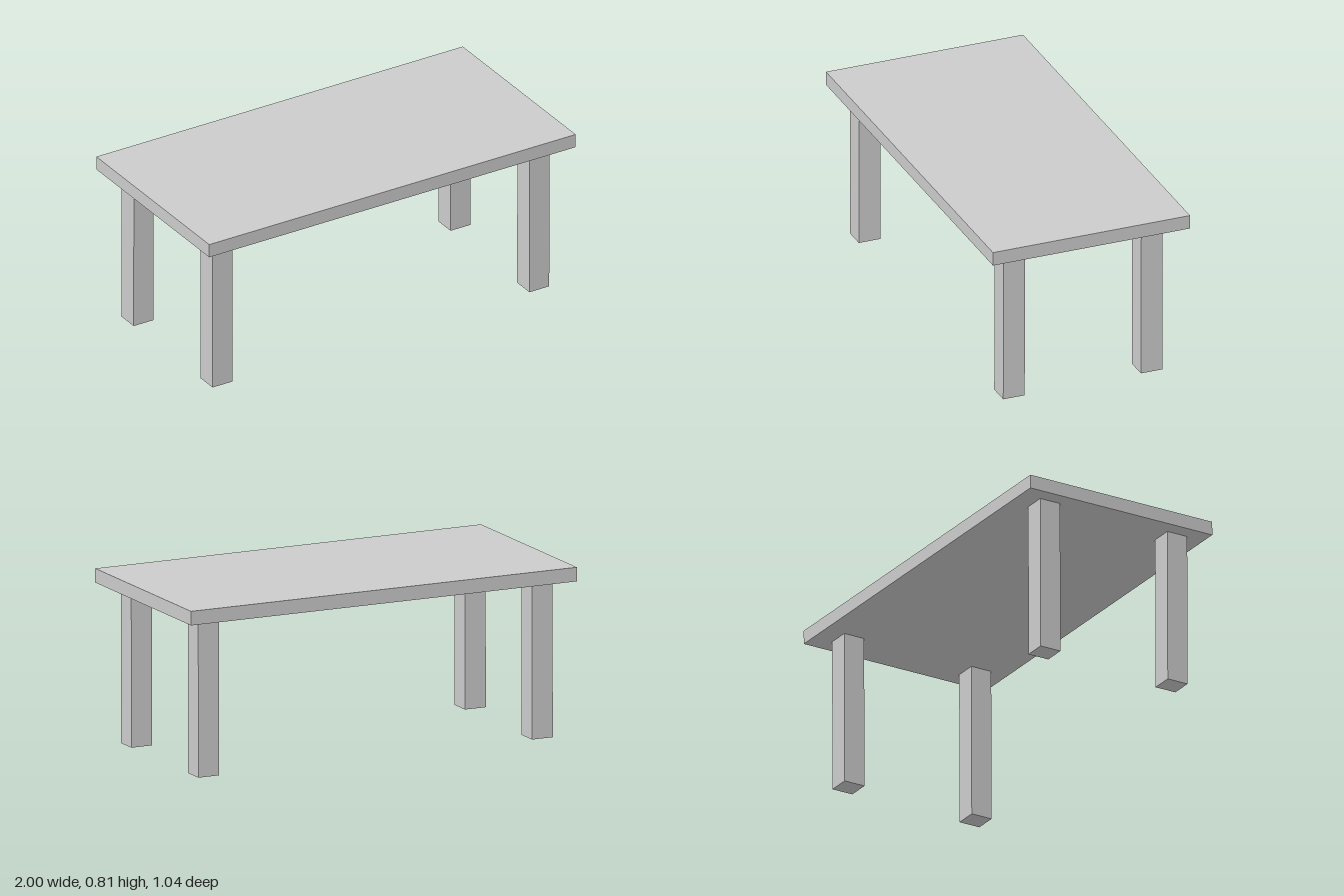
import * as THREE from 'three';

export function createModel() {
  const model = new THREE.Group();
  const table = new THREE.Group();
  table.name = 'table';
  const material = new THREE.MeshStandardMaterial({ color: 0xcccccc, flatShading: true });

  const underside = 0.744, floor = 0.003;

  function addBox(name, w, h, d, x, y, z) {
    const mesh = new THREE.Mesh(new THREE.BoxGeometry(w, h, d), material);
    mesh.name = name;
    mesh.position.set(x, y, z);
    table.add(mesh);
  }

  // Flat rectangular top
  addBox('tableTop', 1.966, 0.066, 0.973, 0, underside + 0.033, 0);

  // Four square legs, inset from the corners
  const legHeight = underside - floor;
  for (const [side, sx] of [['Left', 1], ['Right', -1]]) {
    for (const [end, sz] of [['front', 1], ['back', -1]]) {
      addBox(`${end}${side}Leg`, 0.106, legHeight, 0.106,
        sx * 0.85 - 0.006, floor + legHeight / 2, sz * 0.34 + 0.005);
    }
  }

  // The table stands slightly turned, with a hair of tilt
  table.rotation.set(-0.0015, 0.0356, -0.002);
  model.add(table);
  return model;
}
